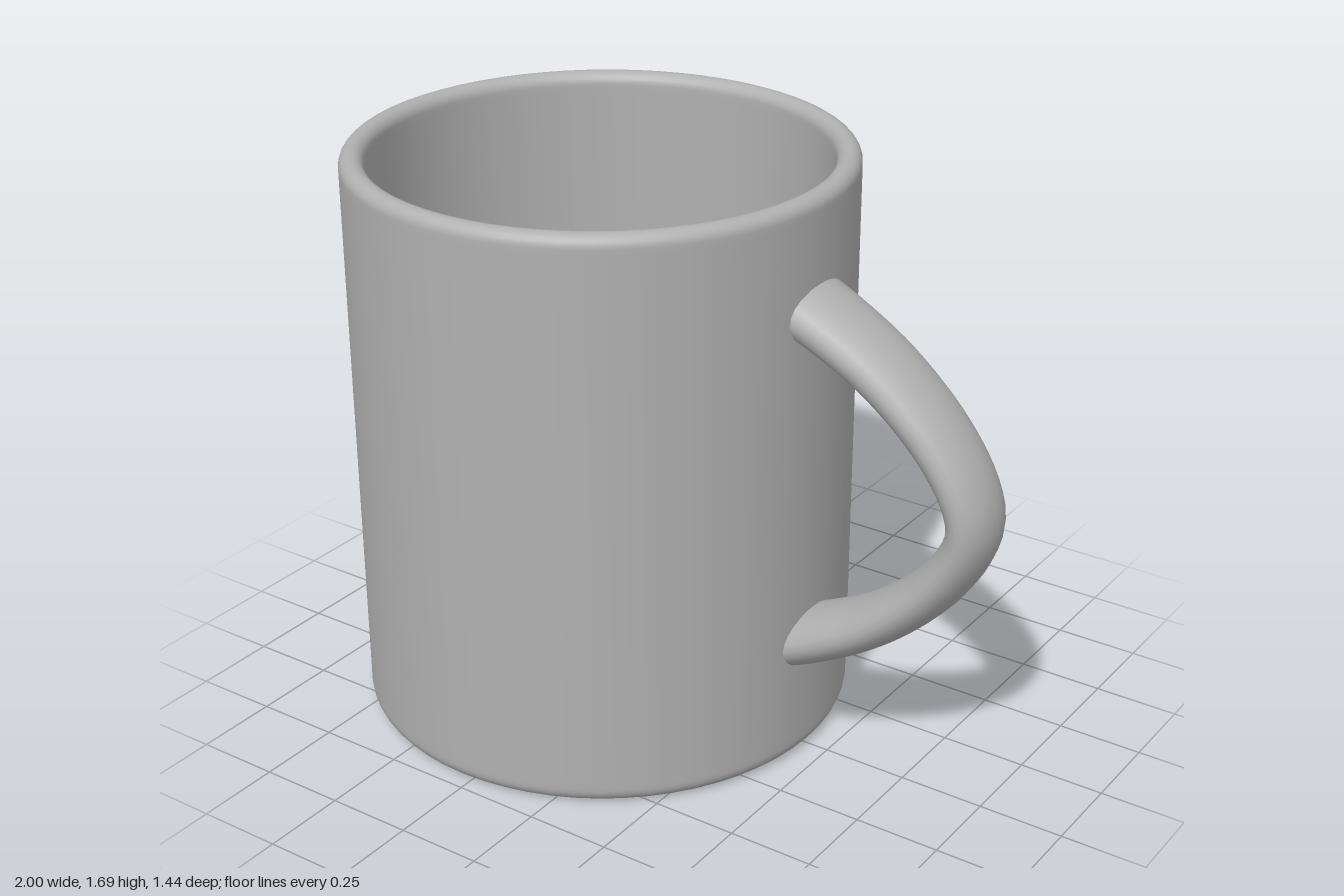
import * as THREE from 'three';

const ceramic = new THREE.MeshStandardMaterial({ color: 0xb0b0b0 });
ceramic.name = 'greyCeramic';

const CENTER_X = -0.28, RADIUS = 0.72, HEIGHT = 1.69;

// Points along a circular arc, angles in quarter turns
function arc(cx, cy, r, from, to, steps = 6) {
  return Array.from({ length: steps + 1 }, (_, i) => {
    const a = (from + (to - from) * i / steps) * Math.PI / 2;
    return new THREE.Vector2(cx + r * Math.cos(a), cy + r * Math.sin(a));
  });
}

// Hollow cup: recessed underside, foot, outer wall, rounded rim, inner wall, floor
function createCup() {
  const p = (x, y) => new THREE.Vector2(x, y);
  const rim = 0.035;
  const profile = [
    p(0, 0.03), p(0.56, 0.03), p(0.58, 0.026), p(0.61, 0.004), p(0.63, 0), p(0.665, 0),
    ...arc(RADIUS - 0.045, 0.045, 0.045, -1, 0),
    p(RADIUS, 0.06), p(RADIUS, HEIGHT - 0.05),
    ...arc(RADIUS - rim, HEIGHT - rim, rim, 0, 2, 12),
    p(RADIUS - 2 * rim, HEIGHT - 0.05), p(RADIUS - 2 * rim, 0.15),
    ...arc(0.6, 0.13, 0.05, 0, -1),
    p(0.58, 0.08), p(0, 0.08),
  ];
  const cup = new THREE.Mesh(new THREE.LatheGeometry(profile, 64), ceramic);
  cup.name = 'cup';
  cup.position.x = CENTER_X;
  return cup;
}

// Flattened oval section swept along a planar curve, wider where it meets the wall
function createHandle() {
  const midY = 0.865, rings = 48, sides = 24;
  const half = [[0.39, 0.512], [0.5, 0.462], [0.65, 0.375], [0.81, 0.235], [0.905, 0.1]];
  const curve = new THREE.CatmullRomCurve3([
    ...half.map(([x, dy]) => new THREE.Vector3(x, midY + dy, 0)),
    new THREE.Vector3(0.933, midY, 0),
    ...half.slice().reverse().map(([x, dy]) => new THREE.Vector3(x, midY - dy, 0)),
  ]);
  const positions = [], indices = [];
  for (let i = 0; i <= rings; i++) {
    const c = curve.getPointAt(i / rings), t = curve.getTangentAt(i / rings);
    const flare = Math.abs(2 * i / rings - 1) ** 1.5;
    const thick = 0.066 + 0.014 * flare, wide = 0.115 + 0.022 * flare;
    for (let j = 0; j < sides; j++) {
      const a = j / sides * Math.PI * 2, n = thick * Math.cos(a);
      positions.push(c.x - t.y * n, c.y + t.x * n, wide * Math.sin(a));
      if (i < rings) {
        const k = (j + 1) % sides, r = i * sides;
        indices.push(r + j, r + k, r + sides + j, r + k, r + sides + k, r + sides + j);
      }
    }
  }
  const geometry = new THREE.BufferGeometry();
  geometry.setAttribute('position', new THREE.Float32BufferAttribute(positions, 3));
  geometry.setIndex(indices);
  geometry.computeVertexNormals();
  const handle = new THREE.Mesh(geometry, ceramic);
  handle.name = 'handle';
  return handle;
}

export function createModel() {
  const mug = new THREE.Group();
  mug.name = 'mug';
  mug.add(createCup(), createHandle());
  return mug;
}
